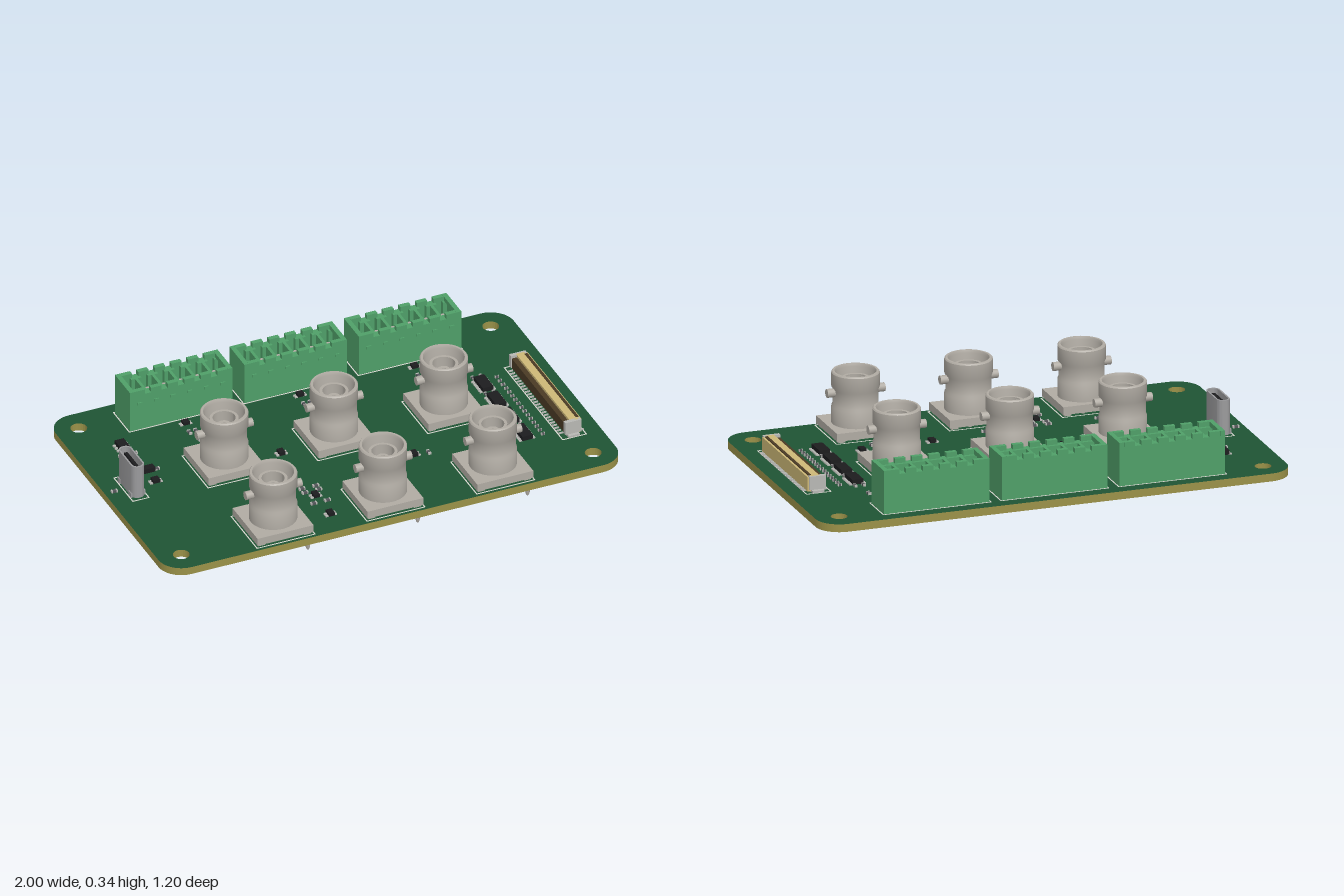
import * as THREE from 'three';
import { toCreasedNormals } from 'three/addons/utils/BufferGeometryUtils.js';

const mat = (color, side = THREE.FrontSide) => new THREE.MeshStandardMaterial({ color, side });
const M = {
  mask: mat(0x1f5434), edge: mat(0x9a9148), metal: mat(0xb0aba3), steel: mat(0x9a9a9c),
  green: mat(0x4f9f68), black: mat(0x1c1c1e), beige: mat(0xcdb877), brown: mat(0x4a3a24),
  silk: mat(0xd8d8d0), pad: mat(0xb8b8b4), grey: mat(0x55565a),
};
const TOP = 0.083; // upper face of the board

function add(parent, name, geometry, material, x = 0, y = 0, z = 0) {
  const m = new THREE.Mesh(geometry, material);
  m.name = name;
  m.position.set(x, y, z);
  parent.add(m);
  return m;
}

// Box standing on height y
const box = (p, name, w, h, d, material, x, y, z) =>
  add(p, name, new THREE.BoxGeometry(w, h, d), material, x, y + h / 2, z);

function roundRect(w, d, r, Type = THREE.Shape, cx = 0, cy = 0) {
  const s = new Type(), a = w / 2 - r, b = d / 2 - r;
  s.absarc(cx + a, cy + b, r, 0, Math.PI / 2);
  s.absarc(cx - a, cy + b, r, Math.PI / 2, Math.PI);
  s.absarc(cx - a, cy - b, r, Math.PI, Math.PI * 1.5);
  s.absarc(cx + a, cy - b, r, Math.PI * 1.5, Math.PI * 2);
  s.closePath();
  return s;
}

// Extrude a plan shape upward
const slab = (shape, h) =>
  new THREE.ExtrudeGeometry(shape, { depth: h, bevelEnabled: false, curveSegments: 10 }).rotateX(-Math.PI / 2);

// Printed rectangular outline
function outline(p, w, d, x, z) {
  const s = roundRect(w, d, 0.003);
  s.holes.push(roundRect(w - 0.01, d - 0.01, 0.002, THREE.Path));
  add(p, 'printedOutline', slab(s, 0.001), M.silk, x, TOP, z);
}

// Solder pin with a tapered tip, from y0 up to y1
function pin(p, r, x, y0, y1, z) {
  const pts = [[0, y0], [r * 0.55, y0], [r, y0 + 0.012], [r, y1], [0, y1]].map(a => new THREE.Vector2(...a));
  add(p, 'pin', toCreasedNormals(new THREE.LatheGeometry(pts, 10), 0.5), M.metal, x, 0, z);
}

function board() {
  const s = roundRect(2, 1.2, 0.1);
  for (const x of [-0.9, 0.9]) for (const z of [-0.5, 0.5]) {
    const hole = new THREE.Path();
    hole.absarc(x, z, 0.034, 0, Math.PI * 2);
    s.holes.push(hole);
  }
  const g = new THREE.Group();
  g.name = 'circuitBoard';
  add(g, 'board', slab(s, TOP - 0.05), [M.mask, M.edge], 0, 0.05, 0);
  return g;
}

// Round bayonet connector: square base, hollow barrel, socket, two lugs
const barrelProfile = [
  [0, 0.125], [0.097, 0.125], [0.097, 0.195], [0.092, 0.205], [0.092, 0.268], [0.097, 0.278],
  [0.097, 0.336], [0.093, 0.341], [0.084, 0.341], [0.08, 0.33], [0.08, 0.16], [0.058, 0.16],
  [0.058, 0.31], [0.046, 0.31], [0.046, 0.18], [0.026, 0.18], [0.026, 0.28], [0.012, 0.28],
  [0.012, 0.2], [0, 0.2],
].map(a => new THREE.Vector2(...a));
const barrelGeometry = toCreasedNormals(new THREE.LatheGeometry(barrelProfile, 40), 0.5);

function coaxConnector(x, z) {
  const g = new THREE.Group();
  g.name = 'coaxConnector';
  g.position.set(x, 0, z);
  box(g, 'base', 0.245, 0.033, 0.245, M.metal, 0, 0.092, 0);
  for (const sx of [-1, 1]) {
    for (const sz of [-1, 1]) box(g, 'foot', 0.03, 0.01, 0.03, M.metal, sx * 0.1, TOP, sz * 0.1);
    add(g, 'lug', new THREE.CylinderGeometry(0.018, 0.018, 0.037, 16).rotateZ(Math.PI / 2),
      M.metal, sx * 0.104, 0.257, 0);
    pin(g, 0.009, sx * 0.105, 0.005, 0.095, sx * 0.105);
  }
  add(g, 'barrel', barrelGeometry, M.metal);
  pin(g, 0.01, 0, 0.005, 0.095, 0);
  pin(g, 0.007, 0.03, 0.012, 0.095, -0.1);
  outline(g, 0.258, 0.258, 0, 0);
  return g;
}

// Six-way pluggable terminal header
function terminalBlock(x) {
  const g = new THREE.Group();
  g.name = 'terminalBlock';
  g.position.set(x, 0, -0.467);
  const s = new THREE.Shape();
  s.moveTo(-0.224, -0.073).lineTo(0.224, -0.073).lineTo(0.224, 0.073).lineTo(-0.224, 0.073).closePath();
  for (let i = 0; i < 6; i++) {
    const cx = (i - 2.5) * 0.0725, hole = new THREE.Path();
    [[-0.03, -0.04], [-0.03, 0.04], [-0.014, 0.04], [-0.014, 0.06], [0.014, 0.06], [0.014, 0.04],
      [0.03, 0.04], [0.03, -0.04]].forEach(([a, b], k) => hole[k ? 'lineTo' : 'moveTo'](cx + a, b));
    hole.closePath();
    s.holes.push(hole);
    pin(g, 0.008, cx, 0.012, 0.21, -0.013);
    box(g, 'keyRib', 0.02, 0.012, 0.006, M.green, cx, 0.199, 0.075);
    // raised teeth along both rims
    for (const sz of [-1, 1]) box(g, 'tooth', 0.045, 0.02, 0.02, M.green, cx, 0.246, sz * 0.063);
  }
  box(g, 'floor', 0.448, 0.045, 0.146, M.green, 0, TOP, 0);
  add(g, 'housing', slab(s, 0.118), M.green, 0, 0.128, 0);
  for (const sx of [-1, 1]) box(g, 'endWall', 0.02, 0.02, 0.146, M.green, sx * 0.214, 0.246, 0);
  outline(g, 0.462, 0.16, 0, 0);
  return g;
}

// Upright power socket with a tongue in an oval shell
function powerSocket() {
  const g = new THREE.Group();
  g.name = 'powerSocket';
  g.position.set(-0.885, 0, -0.02);
  const s = roundRect(0.056, 0.165, 0.027);
  s.holes.push(roundRect(0.042, 0.15, 0.02, THREE.Path));
  add(g, 'shell', toCreasedNormals(slab(s, 0.147), 0.6), M.steel, 0, 0.086, 0);
  add(g, 'core', slab(roundRect(0.044, 0.152, 0.02), 0.06), M.black, 0, 0.086, 0);
  box(g, 'tongue', 0.014, 0.13, 0.11, M.black, 0, 0.09, 0);
  for (const sx of [-1, 1]) for (const sz of [-1, 1]) box(g, 'tab', 0.012, 0.035, 0.022, M.steel, sx * 0.026, 0.07, sz * 0.055);
  outline(g, 0.075, 0.19, 0, 0);
  return g;
}

// Fifty-way flat cable connector
function cableConnector() {
  const g = new THREE.Group();
  g.name = 'cableConnector';
  g.position.set(0.878, 0, 0.082);
  box(g, 'housing', 0.036, 0.064, 0.53, M.beige, 0.008, 0.087, 0);
  box(g, 'frontBar', 0.022, 0.045, 0.52, M.brown, -0.021, 0.095, 0);
  box(g, 'backBar', 0.014, 0.06, 0.53, M.beige, 0.033, 0.087, 0);
  box(g, 'cover', 0.012, 0.004, 0.5, M.brown, 0.027, 0.149, 0);
  for (const sz of [-1, 1]) {
    box(g, 'endBlock', 0.07, 0.056, 0.018, M.pad, 0, 0.095, sz * 0.265);
    box(g, 'endTab', 0.05, 0.01, 0.025, M.pad, 0, TOP, sz * 0.272);
  }
  for (let i = 0; i < 50; i++) box(g, 'contact', 0.02, 0.006, 0.005, M.pad, i % 2 ? 0.045 : -0.04, TOP, (i - 24.5) * 0.0102);
  outline(g, 0.108, 0.575, 0, 0);
  return g;
}

// Flat chip with legs on the two x sides
function chip(name, w, d, h, legs, x, z) {
  const g = new THREE.Group();
  g.name = name;
  g.position.set(x, 0, z);
  box(g, 'body', w, h, d, M.black, 0, TOP + 0.003, 0);
  for (let i = 0; i < legs; i++) for (const sx of [-1, 1])
    box(g, 'leg', 0.014, 0.006, d / legs * 0.5, M.pad, sx * (w / 2 + 0.005), TOP, ((i + 0.5) / legs - 0.5) * d);
  return g;
}

// Tiny two-ended component lying along x or z
function passive(x, z, alongZ = false, len = 0.026) {
  const g = new THREE.Group();
  g.name = 'passive';
  g.position.set(x, 0, z);
  if (alongZ) g.rotation.y = Math.PI / 2;
  box(g, 'body', len * 0.6, 0.009, len * 0.5, M.grey, 0, TOP, 0);
  for (const s of [-1, 1]) box(g, 'endCap', len * 0.22, 0.01, len * 0.52, M.pad, s * len * 0.4, TOP, 0);
  return g;
}

export function createModel() {
  const root = new THREE.Group();
  root.name = 'interfaceBoard';
  root.add(board(), powerSocket(), cableConnector());
  for (const x of [-0.48, 0, 0.48]) root.add(coaxConnector(x, -0.02), coaxConnector(x, 0.458));

  // Each terminal block with its protection parts
  for (const x of [-0.5, 0, 0.5]) {
    root.add(terminalBlock(x));
    for (const dx of [0, 0.14]) root.add(chip('smallChip', 0.028, 0.025, 0.014, 2, x + dx, -0.352));
    for (const dx of [-0.012, 0.016, 0.085, 0.17, 0.195]) root.add(passive(x + dx, -0.285, true));
    root.add(chip('smallChip', 0.025, 0.02, 0.012, 2, x + 0.1, -0.285));
    for (const dx of [0, 0.05]) root.add(passive(x + dx + 0.01, -0.22));
  }

  // Level shifters beside the cable connector
  for (const z of [-0.117, 0.01, 0.138, 0.268]) {
    root.add(chip('driverChip', 0.046, 0.092, 0.02, 8, 0.697, z));
    for (const dx of [-0.018, 0.018]) root.add(passive(0.697 + dx, z - 0.063, true, 0.022));
  }
  for (let i = 0; i < 16; i++) root.add(passive(0.77, -0.15 + i * 0.03, false, 0.016));

  // Power parts and scattered logic
  root.add(chip('regulator', 0.04, 0.06, 0.019, 3, -0.8, -0.3));
  root.add(chip('diode', 0.055, 0.03, 0.02, 1, -0.778, -0.1));
  root.add(chip('smallChip', 0.03, 0.03, 0.015, 2, -0.78, -0.02));
  for (const [x, z] of [[-0.24, 0], [-0.24, 0.335], [-0.24, 0.48], [0.24, 0.226], [0.54, 0.218]])
    root.add(chip('logicChip', 0.025, 0.034, 0.014, 2, x, z));
  for (const [x, z] of [[-0.83, -0.24], [-0.775, -0.24], [-0.74, -0.1], [-0.96, -0.02], [-0.27, 0.27], [-0.21, 0.27],
    [-0.27, 0.385], [-0.21, 0.385], [-0.27, 0.3], [-0.21, 0.3], [0.3, 0.235], [0, 0.27], [-0.48, 0.27], [0.48, 0.27]])
    root.add(passive(x, z, x > 0));
  return root;
}
